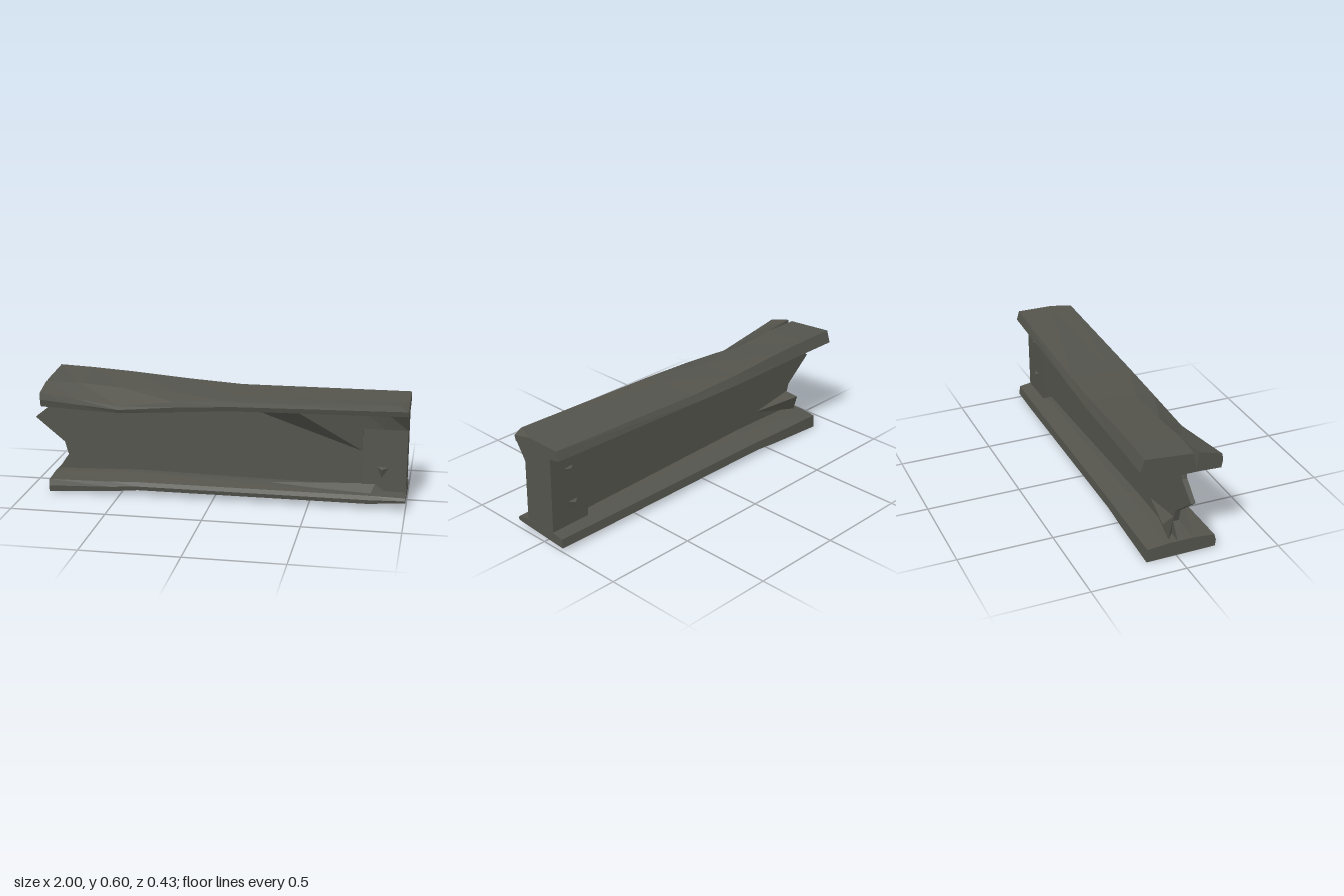
import * as THREE from 'three';
import { ConvexGeometry } from 'three/addons/geometries/ConvexGeometry.js';

const steel = new THREE.MeshStandardMaterial({ color: 0x54544d });
steel.name = 'dark steel';
steel.flatShading = true;

// Loft closed rings of [x, y, z] along x; rings run anticlockwise seen from +x.
function loft(rings) {
  const out = [];
  const n = rings[0].length;
  for (let i = 0; i < rings.length - 1; i++) {
    for (let j = 0; j < n; j++) {
      const k = (j + 1) % n;
      const a = rings[i][j], b = rings[i][k], c = rings[i + 1][k], d = rings[i + 1][j];
      out.push(...a, ...b, ...c, ...a, ...c, ...d);
    }
  }
  const cap = (ring, flip) => {
    const flat = ring.map((p) => new THREE.Vector2(-p[2], p[1]));
    for (const [a, b, c] of THREE.ShapeUtils.triangulateShape(flat, [])) {
      const order = flip ? [a, c, b] : [a, b, c];
      order.forEach((v) => out.push(...ring[v]));
    }
  };
  cap(rings[0], true);
  cap(rings[rings.length - 1], false);
  const geo = new THREE.BufferGeometry();
  geo.setAttribute('position', new THREE.Float32BufferAttribute(out, 3));
  geo.computeVertexNormals();
  return geo;
}

// Top flange section; slot 1 is a fully open split, 0 is closed
function topRing([x, yBack, yMid, yFront, lowFront, under, lowBack, zFront, zBack], slot, chamfer) {
  const slotY = THREE.MathUtils.lerp(yMid, under + 0.008, slot);
  return [
    [x, yBack, zBack * 0.9],
    [x, yMid, 0.075 - 0.014 * slot], [x, slotY, 0.075], [x, yMid, 0.075 + 0.014 * slot],
    [x - chamfer, yFront, zFront - 0.005],
    [x, (yFront + lowFront) / 2, zFront],
    [x, lowFront, zFront - 0.008],
    [x, under, 0.08], [x, under, -0.04],
    [x, lowBack, zBack],
  ];
}

// Bottom flange section
function bottomRing([x, top, root, lowFront, lowBack, zFront, zBack]) {
  return [
    [x, top, zBack + 0.005], [x, root, -0.05], [x, root, 0.09], [x, top, zFront - 0.01],
    [x, (top + lowFront) / 2, zFront], [x, lowFront, zFront - 0.005], [x, lowBack, zBack],
  ];
}

export function createModel() {
  const group = new THREE.Group();
  group.name = 'brokenGirder';
  const add = (name, geo) => {
    const mesh = new THREE.Mesh(geo, steel);
    mesh.name = name;
    group.add(mesh);
  };
  const shard = (name, pts) =>
    add(name, new ConvexGeometry(pts.map((p) => new THREE.Vector3(...p))));

  // Top flange: bent upward and split at the torn end, one corner cut at the other
  const topStations = [
    [-0.915, 0.6, 0.579, 0.545, 0.47, 0.476, 0.535, 0.215, -0.216],
    [-0.73, 0.594, 0.571, 0.52, 0.46, 0.472, 0.53, 0.209, -0.208],
    [-0.5, 0.582, 0.555, 0.488, 0.45, 0.465, 0.522, 0.203, -0.198],
    [-0.2, 0.56, 0.542, 0.52, 0.466, 0.478, 0.512, 0.188, -0.188],
    [0.1, 0.545, 0.54, 0.535, 0.485, 0.486, 0.507, 0.185, -0.172],
    [1, 0.555, 0.555, 0.555, 0.5, 0.485, 0.505, 0.186, -0.14],
  ];
  add('topFlange', loft(topStations.map((s, i) =>
    topRing(s, i === 0 ? 1 : 0, i === topStations.length - 1 ? 0.04 : 0))));

  // Bottom flange: sags toward the torn end
  add('bottomFlange', loft([
    [-0.88, 0.07, 0.08, 0.003, 0, 0.215, -0.16],
    [-0.55, 0.072, 0.093, 0.02, 0.018, 0.207, -0.157],
    [-0.4, 0.076, 0.097, 0.033, 0.03, 0.202, -0.155],
    [0.8, 0.073, 0.087, 0.03, 0.024, 0.192, -0.145],
    [1, 0.07, 0.085, 0.045, 0.022, 0.194, -0.14],
  ].map(bottomRing)));

  // Web plate with a jagged torn edge, thinning toward it
  const outline = [[0.9, 0.06], [0.9, 0.51], [0.1, 0.51], [-0.5, 0.5], [-0.88, 0.5], [-0.9, 0.44],
    [-1, 0.36], [-0.84, 0.23], [-0.82, 0.16], [-0.875, 0.08], [-0.87, 0.05], [-0.4, 0.06]];
  const web = new THREE.ExtrudeGeometry(
    new THREE.Shape(outline.map((p) => new THREE.Vector2(...p))),
    { depth: 1, bevelEnabled: false });
  const pos = web.attributes.position;
  for (let i = 0; i < pos.count; i++) {
    const half = 0.03 + 0.018 * pos.getX(i);
    pos.setZ(i, 0.022 + (pos.getZ(i) - 0.5) * 2 * half);
  }
  web.computeVertexNormals();
  add('web', web);

  // Thick end block whose front flares into the top flange
  add('endBlock', loft([[0.77, 0.13], [0.88, 0.14], [0.998, 0.182]].map(([x, flare]) => [
    [x, 0.51, -0.075], [x, 0.51, flare], [x, 0.41, 0.116], [x, 0.08, 0.119], [x, 0.08, -0.07],
  ])));

  // Buckled metal in front of the web, beside the end block
  shard('webBuckle', [[0.12, 0.485, 0.04], [0.42, 0.502, 0.165], [0.77, 0.29, 0.114],
    [0.77, 0.505, 0.14], [0.77, 0.29, 0.03], [0.77, 0.505, 0.03]]);
  shard('lowerBuckle', [[0.2, 0.085, 0.1], [0.82, 0.08, 0.165], [0.9, 0.08, 0.11],
    [0.84, 0.12, 0.115], [0.5, 0.08, 0.06]]);

  // Small torn burrs on the end block, pointing away from it
  for (const [x, y, side] of [[0.88, 0.4, -1], [0.86, 0.205, -1], [0.87, 0.2, 1]]) {
    const face = side > 0 ? 0.112 : -0.066;
    shard('burr', [[x - 0.03, y + 0.015, face], [x + 0.05, y + 0.01, face],
      [x, y - 0.07, face], [x, y, face + side * 0.022]]);
  }

  // Torn flap on the back of the web near the broken end
  shard('webFlap', [[-0.55, 0.15, 0.005], [-0.84, 0.17, -0.06], [-0.82, 0.19, 0.01],
    [-0.85, 0.08, -0.03], [-0.8, 0.08, 0.01]]);

  return group;
}
